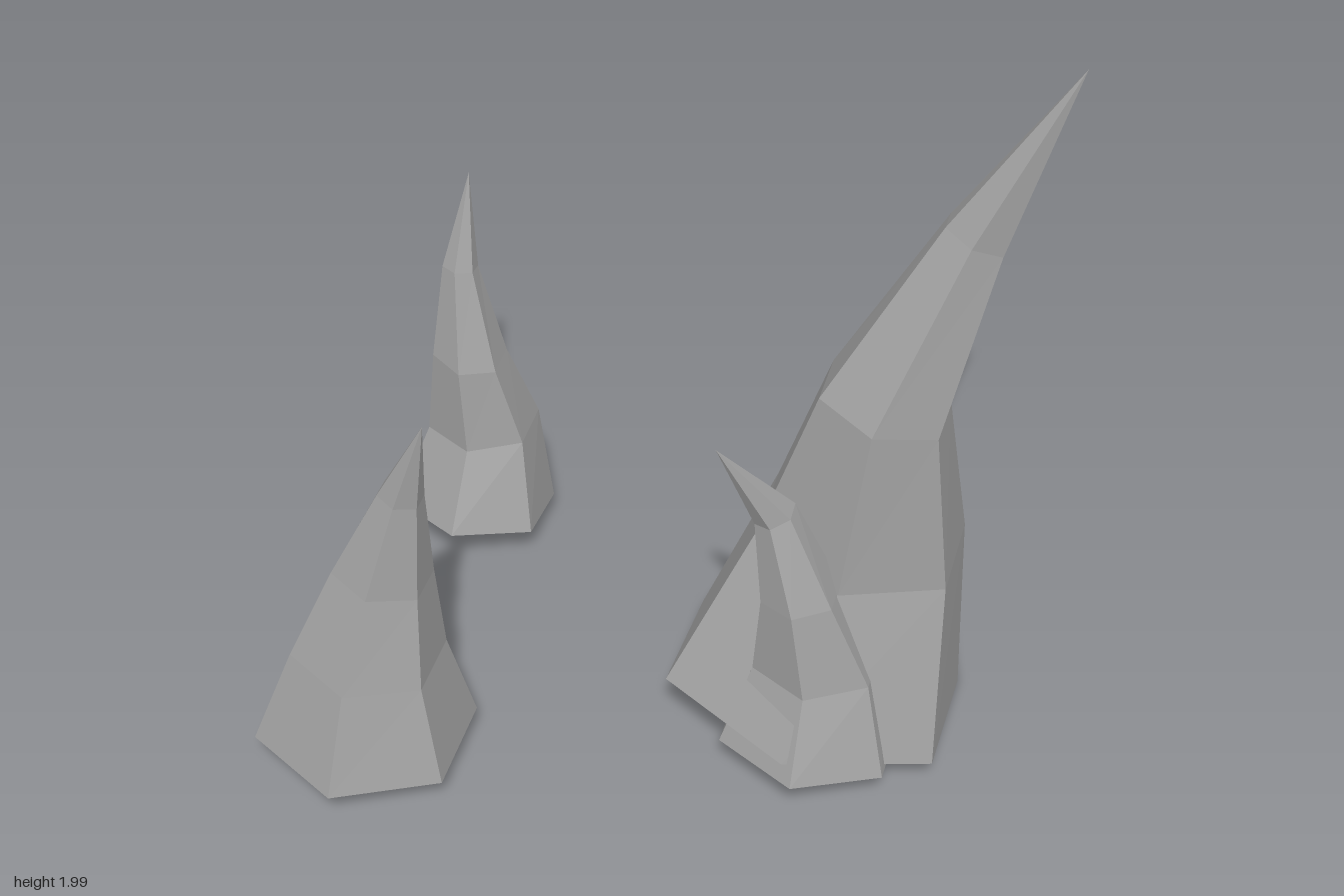
import * as THREE from 'three';

// Each ring, base to tip: centre x, y, z, radius, then slope of y along x and z
const SPIKES = {
  largeStalagmite: [
    [0.43, 0.1, 0.508, 0.415, -0.23, -0.05],
    [0.543, 0.575, 0.535, 0.29, -0.1, -0.09],
    [0.512, 1.05, 0.605, 0.175, -0.13, -0.17],
    [0.663, 1.525, 0.72, 0.083, -0.3, -0.3],
    [0.79, 2.0, 0.89, 0, 0, 0],
  ],
  sideStalagmite: [
    [0.28, 0.1, 0.63, 0.25, -0.08, 0],
    [0.3, 0.345, 0.62, 0.175, 0.05, 0],
    [0.24, 0.58, 0.6, 0.105, 0.1, 0.05],
    [0.2, 0.82, 0.535, 0.052, 0.4, 0.2],
    [0.06, 1.05, 0.455, 0, 0, 0],
  ],
  rightStalagmite: [
    [-0.543, 0.095, -0.2, 0.297, -0.03, -0.04],
    [-0.535, 0.365, -0.185, 0.205, -0.06, -0.07],
    [-0.5, 0.62, -0.155, 0.132, -0.12, -0.11],
    [-0.48, 0.89, -0.095, 0.06, -0.1, -0.17],
    [-0.47, 1.14, -0.015, 0, 0, 0],
  ],
  backStalagmite: [
    [0.298, 0.102, -0.695, 0.231, -0.17, 0.03],
    [0.34, 0.365, -0.702, 0.16, 0.02, 0],
    [0.295, 0.62, -0.705, 0.105, 0, -0.15],
    [0.3, 0.89, -0.742, 0.05, -0.15, 0],
    [0.355, 1.16, -0.76, 0, 0, 0],
  ],
};

// Six-sided hollow spike, open underneath, bent through its rings
function spikeGeometry(rings) {
  const steps = rings.length - 1;
  const geo = new THREE.CylinderGeometry(0, 1, 1, 6, steps, true);
  const pos = geo.attributes.position;
  const uv = geo.attributes.uv;
  for (let i = 0; i < pos.count; i++) {
    const [x, y, z, r, tiltX, tiltZ] = rings[Math.round(uv.getY(i) * steps)];
    const angle = uv.getX(i) * Math.PI * 2;
    const dx = Math.sin(angle) * r;
    const dz = Math.cos(angle) * r;
    pos.setXYZ(i, x + dx, y + dx * tiltX + dz * tiltZ, z + dz);
  }
  geo.computeVertexNormals();
  return geo;
}

export function createModel() {
  const group = new THREE.Group();
  group.name = 'stalagmites';
  const stone = new THREE.MeshStandardMaterial({
    name: 'grey stone', color: 0xa0a0a0, flatShading: true, side: THREE.DoubleSide,
  });
  for (const [name, rings] of Object.entries(SPIKES)) {
    const mesh = new THREE.Mesh(spikeGeometry(rings), stone);
    mesh.name = name;
    group.add(mesh);
  }
  return group;
}
